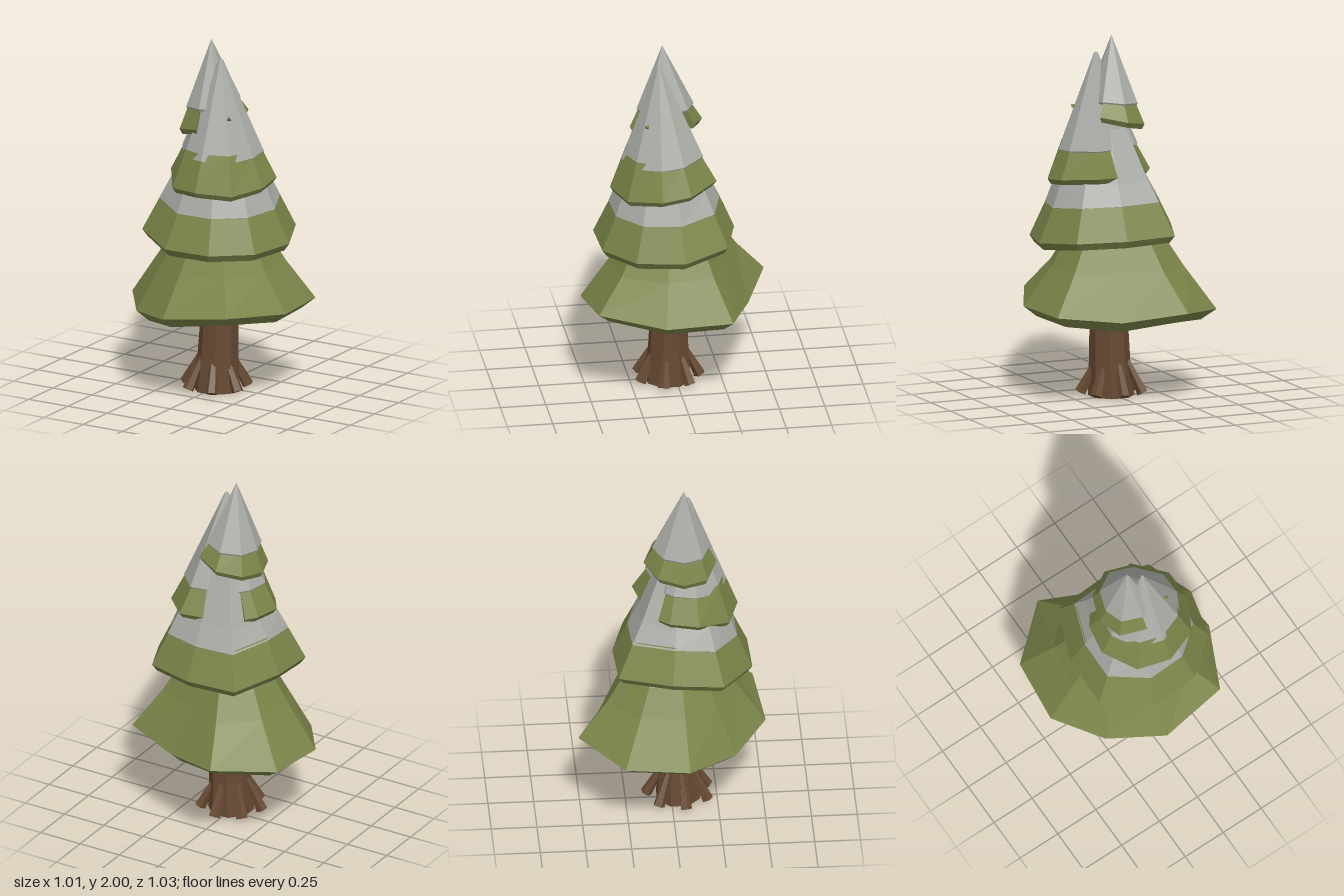
import * as THREE from 'three';

const mat = (name, color) => {
  const m = new THREE.MeshStandardMaterial({ color, flatShading: true });
  m.name = name;
  return m;
};

// Skin between rings listed top to bottom; open rings get flat end walls.
function loft(rings, open = false) {
  const pos = [];
  const tri = (a, b, c) => pos.push(...a, ...b, ...c);
  const n = rings[0].length;
  const last = rings.length - 1;
  const mid = r => [0, 1, 2].map(k => r.reduce((s, p) => s + p[k], 0) / n);
  for (let i = 0; i < (open ? n - 1 : n); i++) {
    const k = (i + 1) % n;
    for (let j = 0; j < last; j++) {
      const a = rings[j], b = rings[j + 1];
      tri(a[i], a[k], b[k]);
      tri(a[i], b[k], b[i]);
    }
    if (!open) {
      tri(mid(rings[0]), rings[0][k], rings[0][i]);
      tri(mid(rings[last]), rings[last][i], rings[last][k]);
    }
  }
  if (open) for (let j = 1; j < last; j++) {
    tri(rings[0][0], rings[j][0], rings[j + 1][0]);
    tri(rings[0][n - 1], rings[j + 1][n - 1], rings[j][n - 1]);
  }
  const g = new THREE.BufferGeometry();
  g.setAttribute('position', new THREE.Float32BufferAttribute(pos, 3));
  g.computeVertexNormals();
  return g;
}

// Each step [scale, y, level] shrinks the outline to its axis; level 0 keeps its waviness, 1 is flat.
const rings = (outline, [cx, cz], steps) => steps.map(([s, y, level]) =>
  outline.map(p => [cx + (p[0] - cx) * s, p[1] * (1 - level) + y, cz + (p[2] - cz) * s]));

const polygon = (n, r, cx, y, cz) => Array.from({ length: n }, (_, i) => {
  const a = (i + 0.5) / n * Math.PI * 2;
  return [cx + r * Math.cos(a), y, cz + r * Math.sin(a)];
});

// Rim outlines as x, y, z
const SKIRT = [[0.47, 0.52, -0.25], [0.505, 0.525, 0.12], [0.34, 0.56, 0.47], [-0.04, 0.51, 0.515],
  [-0.32, 0.47, 0.33], [-0.505, 0.49, 0.07], [-0.47, 0.5, -0.28], [-0.19, 0.54, -0.52], [0.14, 0.49, -0.385]];
const MIDDLE = [[0.35, 0.92, -0.24], [0.46, 0.89, 0.01], [0.4, 0.885, 0.27], [0.2, 0.885, 0.43],
  [-0.07, 0.885, 0.44], [-0.32, 0.92, 0.27], [-0.32, 0.94, -0.01], [-0.21, 0.93, -0.3], [0.08, 0.925, -0.315]];
const UPPER = [[0.03, 1.25, -0.155], [0.2, 1.26, -0.2], [0.35, 1.24, -0.04], [0.36, 1.22, 0.12], [0.27, 1.2, 0.3],
  [0.08, 1.21, 0.37], [-0.1, 1.2, 0.315], [-0.215, 1.25, 0.14], [-0.19, 1.26, -0.02], [-0.145, 1.26, -0.08]];
const PEAK = [[0.01, 1.53, 0.25], [-0.13, 1.5, 0.19], [-0.175, 1.5, 0.06], [-0.13, 1.52, -0.08],
  [0, 1.55, -0.15], [0.14, 1.58, -0.09]];

export function createModel() {
  const green = mat('needle green', 0x7b8549);
  const snow = mat('snow grey', 0xaaaca6);
  const bark = mat('bark brown', 0x674a33);
  const group = new THREE.Group();
  const add = (name, geometry, material) => {
    const m = new THREE.Mesh(geometry, material);
    m.name = name;
    group.add(m);
    return m;
  };

  // Trunk
  add('trunk', loft([polygon(8, 0.1, 0.035, 0.55, 0.035), polygon(8, 0.113, 0.025, 0.2, 0.04),
    polygon(8, 0.127, 0.015, 0.005, 0.04)]), bark);

  // Roots leaning out from the trunk
  const up = new THREE.Vector3(0, 1, 0);
  for (let i = 0; i < 7; i++) {
    const a = (i + 0.3) / 7 * Math.PI * 2;
    const at = (r, y) => new THREE.Vector3(0.01 + r * Math.cos(a), y, 0.04 + r * Math.sin(a));
    const top = at(0.085, 0.2), foot = at(0.175, 0.025);
    const root = add('root', new THREE.CylinderGeometry(0.016, 0.033, top.distanceTo(foot), 5), bark);
    root.position.copy(top).add(foot).multiplyScalar(0.5);
    root.quaternion.setFromUnitVectors(up, top.sub(foot).normalize());
  }

  // Bottom branches
  add('bottomBranches', loft(rings(SKIRT, [0.02, 0.02],
    [[0.3, 1.0, 1], [0.52, 0.88, 1], [0.69, 0.735, 1], [1, 0, 0], [0.85, -0.06, 0], [0.6, 0.47, 1]])), green);

  // Middle branches and their snow
  const c2 = [0.065, 0.065];
  add('middleBranches', loft(rings(MIDDLE, c2,
    [[0.5, 1.15, 1], [0.765, 0.38, 0.2], [1, 0, 0], [0.93, -0.04, 0], [0.7, 0.88, 1]])), green);
  add('middleSnow', loft(rings(MIDDLE, c2,
    [[0.34, 1.5, 1], [0.64, 1.22, 1], [0.785, 0.365, 0.2], [0.76, 0.35, 0.2]])), snow);

  // Upper branches, split at the back, with the front snow peak
  const c3 = [0.08, 0.1];
  add('upperBranches', loft(rings(UPPER, c3,
    [[0.72, 1.41, 1], [1, 0, 0], [0.93, -0.03, 0], [0.5, 1.24, 1]]), true), green);
  add('frontPeakSnow', loft(rings(UPPER, c3,
    [[0.035, 1.905, 1], [0.77, 0.77, 0.5], [0.74, 0.755, 0.5]])), snow);

  // Tall back peak with a partial ring of branches
  const c4 = [0, 0.07];
  add('peakBranches', loft(rings(PEAK, c4,
    [[0.72, 1.03, 0.6], [1, 0, 0], [0.92, -0.03, 0], [0.3, 1.52, 1]]), true), green);
  add('tallPeakSnow', loft(rings([...PEAK, [0.17, 1.53, 0.07], [0.13, 1.53, 0.2]], c4,
    [[0.004, 2, 1], [0.79, 1.025, 0.6], [0.75, 1.01, 0.6]])), snow);

  // Twig poking through the snow
  add('twig', new THREE.TetrahedronGeometry(0.018), green).position.set(0.18, 1.6, 0.18);

  return group;
}
